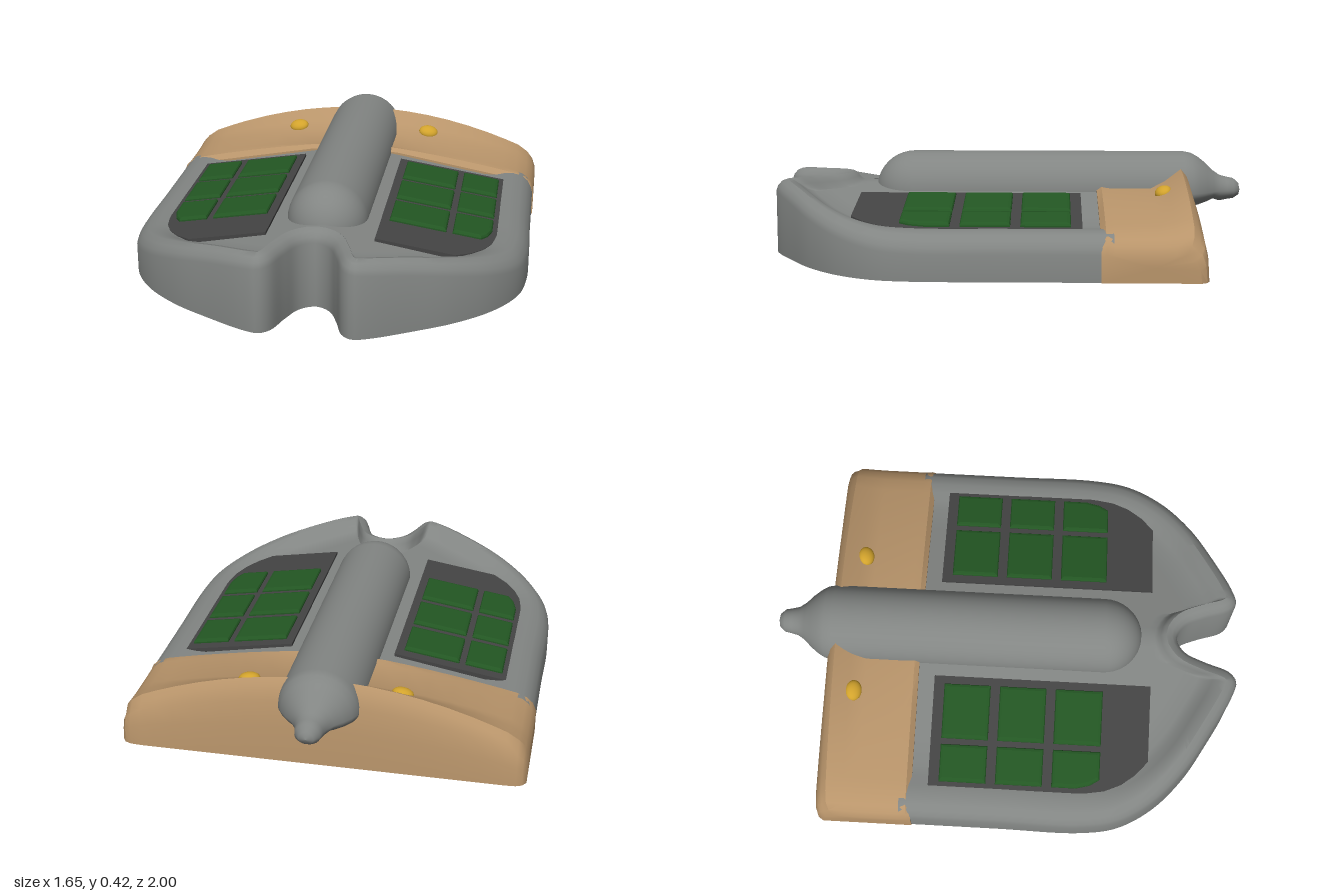
import * as THREE from 'three';
import { toCreasedNormals } from 'three/addons/utils/BufferGeometryUtils.js';

const mat = (name, color) => {
  const m = new THREE.MeshStandardMaterial({ color });
  m.name = name;
  return m;
};

// Heights across the width: raised rim, sunken deck and sloped panel
const rimY = (x) => 0.325 - 0.25 * x * x;
const deckY = (x) => 0.25 - 0.18 * (Math.abs(x) - 0.22);
const panelY = (x) => 0.262 - 0.16 * (Math.abs(x) - 0.22);

// Skin over rows of equally many [x, y, z] points
function loft(rows, flip, crease) {
  const n = rows[0].length, index = [];
  for (let j = 0; j < rows.length - 1; j++) {
    for (let i = 0; i < n - 1; i++) {
      const a = j * n + i, b = a + 1, c = a + n, d = c + 1;
      if (flip) index.push(a, c, b, b, c, d);
      else index.push(a, b, c, b, d, c);
    }
  }
  const g = new THREE.BufferGeometry();
  g.setAttribute('position', new THREE.Float32BufferAttribute(rows.flat(2), 3));
  g.setIndex(index);
  return toCreasedNormals(g, crease);
}

// Outline of the hull seen from above, from the right rear round the bow notch
function hullOutline() {
  const half = [[0.82, -0.42], [0.82, 0], [0.82, 0.36], [0.79, 0.52], [0.7, 0.67], [0.56, 0.8], [0.4, 0.9],
    [0.24, 0.985], [0.18, 1.0], [0.14, 0.97], [0.1, 0.86], [0.06, 0.775]];
  const all = [...half, [0, 0.74], ...half.slice().reverse().map(([x, z]) => [-x, z])];
  const curve = new THREE.CatmullRomCurve3(all.map(([x, z]) => new THREE.Vector3(x, 0, z)), false, 'centripetal');
  return curve.getSpacedPoints(180);
}

function hullGeometry(pts) {
  const last = pts.length - 1;
  const inset = (i, d) => {
    const t = pts[Math.min(i + 1, last)].clone().sub(pts[Math.max(i - 1, 0)]).normalize();
    return [pts[i].x - t.z * d, pts[i].z + t.x * d];
  };
  const rows = [pts.map((p) => [p.x, 0, p.z])];
  // Wall and rounded rim
  for (const [d, drop] of [[0, 0.05], [0.008, 0.028], [0.025, 0.01], [0.05, 0]]) {
    rows.push(pts.map((p, i) => {
      const [x, z] = inset(i, d);
      return [x, rimY(x) - drop, z];
    }));
  }
  // Deck running in to the spine
  for (const t of [0.06, 0.12, 0.18, 0.25, 0.4, 0.6, 0.8, 1]) {
    rows.push(pts.map((p, i) => {
      const [bx, bz] = inset(i, 0.05);
      const tx = Math.sign(bx) * Math.min(Math.abs(bx), 0.1), tz = Math.min(bz, 0.5);
      const x = THREE.MathUtils.lerp(bx, tx, t), z = THREE.MathUtils.lerp(bz, tz, t);
      const k = THREE.MathUtils.smoothstep(t, 0, 0.25);
      return [x, THREE.MathUtils.lerp(rimY(x), deckY(x), k), z];
    }));
  }
  return loft(rows, true, 0.7);
}

function sternGeometry() {
  // Each station: x, edge drop, corner pull-in at the back
  const half = [[0.1, 0, 0], [0.2, 0, 0], [0.3, 0, 0], [0.4, 0, 0], [0.5, 0, 0], [0.6, 0, 0], [0.68, 0, 0],
    [0.74, 0, 0], [0.785, 0.012, 0.003], [0.81, 0.03, 0.013], [0.825, 0.06, 0.035]];
  const stations = [...half.slice().reverse().map(([x, e, p]) => [-x, e, p]), [0, 0, 0], ...half];
  const section = ([x, e, p]) => {
    const low = 0.28 - 0.17 * x * x - e, high = Math.max(0.36 - 0.28 * x * x - e, low);
    const step = Math.min(low - 0.005, deckY(x) + 0.01 - e * 0.3);
    return [[-0.37, 0], [-0.37, step], [-0.39, (step + low) / 2 + 0.01], [-0.425, low], [-0.6, low],
      [-0.66, low + 0.4 * (high - low)], [-0.73 + p, high], [-0.752 + p, high - 0.025], [-0.77 + p, high * 0.75],
      [-0.785 + p, high * 0.45], [-0.79 + p, 0], [-0.37, 0]].map(([z, y]) => [x, y, z]);
  };
  const sections = stations.map(section);
  // Close both ends
  const cap = (s) => s.map(([x]) => [x, 0.06, -0.58]);
  const rows = [cap(sections[0]), ...sections, cap(sections[sections.length - 1])];
  return loft(rows, true, 0.6);
}

// Flat plate lying on the sloped deck
function slab(points, side, depth, lift, bevel) {
  const shape = new THREE.Shape(points.map(([x, z]) => new THREE.Vector2(x * side, z)));
  const g = new THREE.ExtrudeGeometry(shape, {
    depth, bevelEnabled: bevel > 0, bevelSize: bevel, bevelOffset: -bevel, bevelThickness: bevel * 0.7, bevelSegments: 2,
  });
  g.rotateX(Math.PI / 2);
  const p = g.attributes.position;
  for (let i = 0; i < p.count; i++) p.setY(i, p.getY(i) + panelY(p.getX(i)) + lift);
  g.computeVertexNormals();
  return g;
}

export function createModel() {
  const grey = mat('hull grey', 0x828583);
  const tan = mat('stern tan', 0xb8946a);
  const dark = mat('panel charcoal', 0x444444);
  const green = mat('tile green', 0x235723);
  const gold = mat('button gold', 0xd2a32c);
  const model = new THREE.Group();
  const add = (name, geometry, material, parent = model) => {
    const mesh = new THREE.Mesh(geometry, material);
    mesh.name = name;
    parent.add(mesh);
    return mesh;
  };

  // Hull and its underside
  const outline = hullOutline();
  add('hull', hullGeometry(outline), grey);
  const front = outline.map((p) => new THREE.Vector2(p.x, Math.max(p.z, -0.37)));
  add('hullUnderside', new THREE.ShapeGeometry(new THREE.Shape(front)).rotateX(Math.PI / 2), grey);

  add('stern', sternGeometry(), tan);

  // Spine with a domed nose and a narrowing tail, flattened below
  const R = 0.167, profile = [[0, -1], [0.03, -0.993], [0.05, -0.97], [0.056, -0.94], [0.064, -0.91], [0.085, -0.88],
    [0.115, -0.85], [0.143, -0.815], [0.16, -0.785], [R, -0.75], [R, -0.3], [R, 0.1]];
  for (let i = 0; i <= 10; i++) {
    const a = (i / 10) * Math.PI / 2;
    profile.push([i === 10 ? 0 : R * Math.cos(a), 0.423 + R * Math.sin(a)]);
  }
  const spine = new THREE.LatheGeometry(profile.map(([r, z]) => new THREE.Vector2(r, z)), 40);
  spine.rotateX(Math.PI / 2);
  const sp = spine.attributes.position;
  for (let i = 0; i < sp.count; i++) {
    const y = sp.getY(i), k = sp.getZ(i) < -0.9 ? 0.75 : 0.45;
    sp.setY(i, 0.25 + (y < 0 ? y * k : y));
  }
  spine.computeVertexNormals();
  add('spine', spine, grey);

  // Deck panels, tiles and buttons on both sides
  const rows = [[-0.255, -0.055], [-0.015, 0.185], [0.225, 0.428]];
  const columns = [[0.255, 0.487], [0.513, 0.67]];
  for (const side of [1, -1]) {
    const group = new THREE.Group();
    group.name = side > 0 ? 'leftDeck' : 'rightDeck';
    model.add(group);
    add('panel', slab([[0.22, -0.3], [0.69, -0.3], [0.69, 0.36], [0.675, 0.45], [0.645, 0.52], [0.6, 0.58],
      [0.54, 0.632], [0.22, 0.632]], side, 0.04, 0, 0), dark, group);
    rows.forEach(([z0, z1], r) => columns.forEach(([x0, x1], c) => {
      const corner = r === 2 && c === 1 ? [[x1, z1 - 0.1], [x1 - 0.015, z1 - 0.04], [x1 - 0.04, z1]] : [[x1, z1]];
      add('tile', slab([[x0, z0], [x1, z0], ...corner, [x0, z1]], side, 0.02, 0.006, 0.014), green, group);
    }));
    const button = add('button', new THREE.SphereGeometry(1, 20, 14), gold, group);
    button.scale.set(0.045, 0.026, 0.036);
    button.position.set(0.313 * side, 0.28, -0.642);
    button.rotation.set(0.4, 0, -0.15 * side);
  }
  return model;
}
